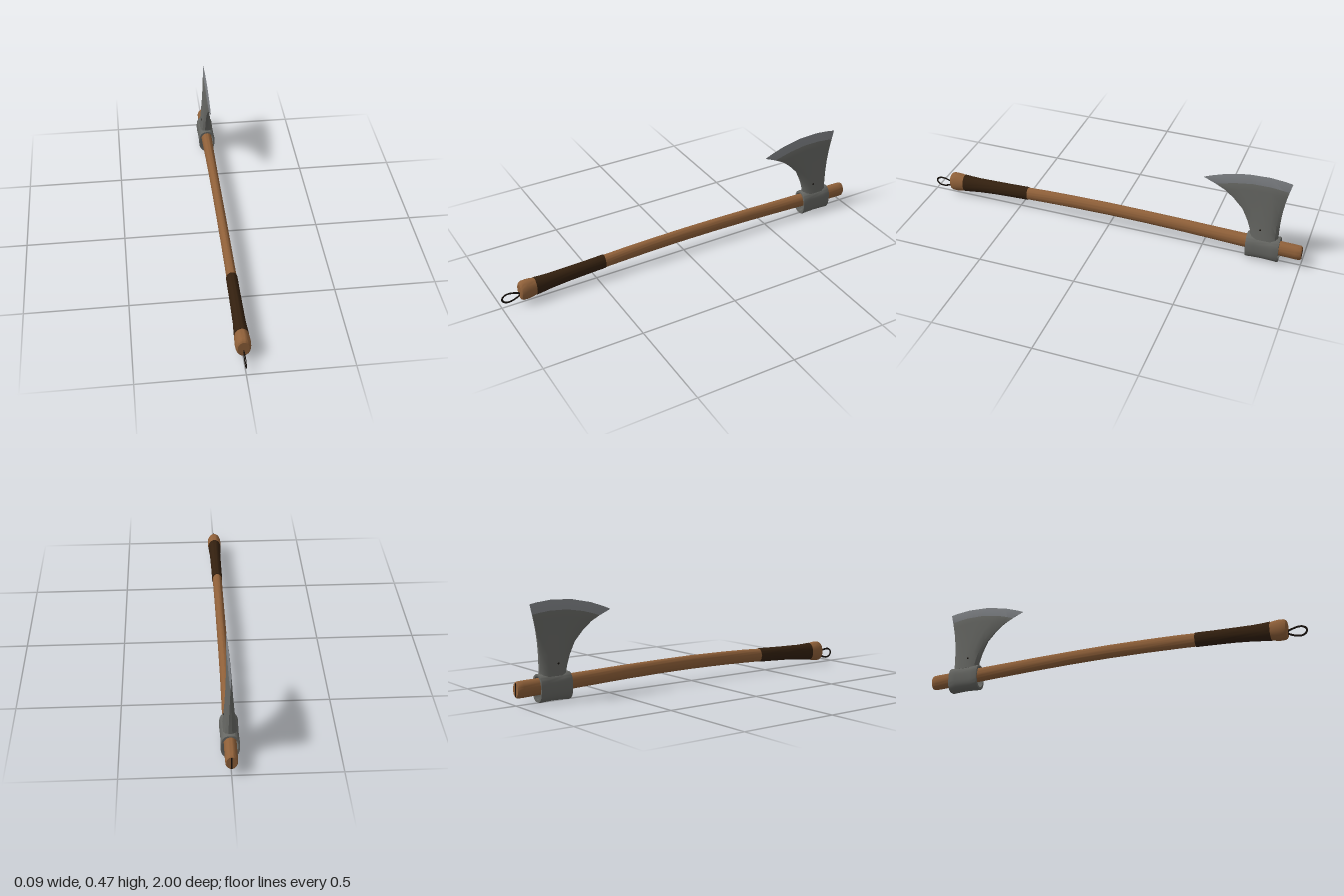
import * as THREE from 'three';
import { toCreasedNormals } from 'three/addons/utils/BufferGeometryUtils.js';

const material = (name, color, side = THREE.FrontSide) => {
  const m = new THREE.MeshStandardMaterial({ color, side });
  m.name = name;
  return m;
};

// Skins a list of equal-length closed rings, with optional flat end caps.
function loft(rings, caps = true, crease = 0.55) {
  const n = rings[0].length;
  const pos = rings.flat(2);
  const idx = [];
  for (let i = 0; i < rings.length - 1; i++) {
    for (let j = 0; j < n; j++) {
      const k = (j + 1) % n;
      const a = i * n + j, b = i * n + k, c = b + n, d = a + n;
      idx.push(a, b, d, b, c, d);
    }
  }
  if (caps) {
    [0, rings.length - 1].forEach((r, end) => {
      const centre = [0, 1, 2].map((k) => rings[r].reduce((s, p) => s + p[k], 0) / n);
      const c = pos.length / 3;
      pos.push(...centre);
      for (let j = 0; j < n; j++) {
        const a = r * n + j, b = r * n + ((j + 1) % n);
        if (end) idx.push(c, a, b);
        else idx.push(c, b, a);
      }
    });
  }
  const g = new THREE.BufferGeometry();
  g.setAttribute('position', new THREE.Float32BufferAttribute(pos, 3));
  g.setIndex(idx);
  return toCreasedNormals(g, crease);
}

// Ellipse (power 2) or squarer oval (power above 2) across the z axis.
function oval(z, cy, rx, ry, power = 2, n = 32) {
  const bend = (v) => Math.sign(v) * Math.abs(v) ** (2 / power);
  return Array.from({ length: n }, (_, i) => {
    const a = (i / n) * Math.PI * 2;
    return [rx * bend(Math.cos(a)), cy + ry * bend(Math.sin(a)), z];
  });
}

// Blade cross-section: thick in the middle, thin toward both ends.
const ACROSS = [[0, 0.3], [0.08, 0.75], [0.25, 1], [0.5, 1], [0.75, 1], [0.92, 0.75], [1, 0.3]];
function bladeRing([zf, yf, zb, yb, bulge, half]) {
  const side = (s) => ACROSS.map(([u, f]) => [
    s * half * f,
    yf + (yb - yf) * u + bulge * 4 * u * (1 - u),
    zf + (zb - zf) * u,
  ]);
  return [...side(1), ...side(-1).reverse()];
}

export function createModel() {
  const wood = material('wood', 0x8f6039);
  const leather = material('dark leather', 0x33200f);
  const steel = material('steel', 0x666763);
  const edgeSteel = material('sharpened steel', 0x84878b);
  const black = material('black', 0x17110c);

  const model = new THREE.Group();
  model.name = 'axe';
  const add = (name, geometry, mat, parent = model) => {
    const mesh = new THREE.Mesh(geometry, mat);
    mesh.name = name;
    parent.add(mesh);
    return mesh;
  };

  // Bowed shaft: z, centre y, half width, half height
  add('shaft', loft([
    [-1, 0.073, 0.024, 0.034],
    [-0.993, 0.073, 0.028, 0.039],
    [-0.97, 0.0735, 0.029, 0.04],
    [-0.85, 0.077, 0.029, 0.039],
    [-0.7, 0.082, 0.028, 0.037],
    [-0.55, 0.0865, 0.026, 0.036],
    [-0.4, 0.091, 0.0245, 0.0355],
    [-0.2, 0.095, 0.024, 0.035],
    [0, 0.0965, 0.024, 0.035],
    [0.2, 0.094, 0.024, 0.035],
    [0.35, 0.09, 0.0245, 0.035],
    [0.5, 0.084, 0.025, 0.034],
    [0.65, 0.078, 0.026, 0.035],
    [0.78, 0.071, 0.029, 0.039],
  ].map((s) => oval(...s))), wood);

  // Swollen end of the handle
  add('pommel', loft([
    [0.78, 0.071, 0.029, 0.039],
    [0.82, 0.069, 0.033, 0.044],
    [0.845, 0.068, 0.036, 0.05],
    [0.87, 0.067, 0.037, 0.053],
    [0.89, 0.0665, 0.036, 0.052],
    [0.9, 0.066, 0.033, 0.047],
    [0.905, 0.066, 0.027, 0.039],
  ].map((s) => oval(...s))), wood);

  // Leather wrap
  add('gripWrap', loft([
    [0.455, 0.086, 0.028, 0.037],
    [0.55, 0.082, 0.028, 0.037],
    [0.65, 0.078, 0.029, 0.038],
    [0.74, 0.073, 0.03, 0.041],
    [0.79, 0.07, 0.033, 0.045],
    [0.825, 0.069, 0.035, 0.048],
  ].map((s) => oval(...s))), leather);

  // Wrist loop, a flattened cord
  const loopPath = new THREE.CatmullRomCurve3([
    [0.05, 0.9], [0.068, 0.94], [0.07, 0.972], [0.06, 0.99],
    [0.047, 0.995], [0.033, 0.988], [0.024, 0.97], [0.027, 0.94],
  ].map(([y, z]) => new THREE.Vector3(0, y, z)), true);
  add('wristLoop', new THREE.TubeGeometry(loopPath, 48, 0.005, 8, true), black).scale.x = 0.45;

  // Wedge in the top end of the shaft
  const wedge = add('wedge', new THREE.BoxGeometry(0.007, 0.064, 0.006), black);
  wedge.position.set(0, 0.073, -0.998);

  const head = new THREE.Group();
  head.name = 'axeHead';
  model.add(head);

  // Hollow socket, slightly waisted along its length
  const outer = [[-0.89, 0.96], [-0.884, 1], [-0.85, 0.97], [-0.807, 0.95], [-0.765, 0.97], [-0.731, 1], [-0.725, 0.96]]
    .map(([z, k]) => oval(z, 0.067, 0.044 * k, 0.067 * k, 2.6, 40));
  const inner = [-0.725, -0.89].map((z) => oval(z, 0.069, 0.036, 0.055, 2, 40));
  add('socket', loft([...outer, ...inner, outer[0]], false), steel, head);

  // Blade rows: front z, front y, back z, back y, crown, half thickness
  const rows = [
    [-0.742, 0.12, -0.877, 0.12, 0, 0.031],
    [-0.735, 0.16, -0.877, 0.165, 0, 0.026],
    [-0.72, 0.205, -0.879, 0.22, 0.004, 0.021],
    [-0.69, 0.267, -0.884, 0.28, 0.01, 0.0155],
    [-0.64, 0.32, -0.893, 0.34, 0.018, 0.011],
    [-0.595, 0.355, -0.9, 0.375, 0.023, 0.0085],
    [-0.55, 0.378, -0.908, 0.408, 0.027, 0.006],
    [-0.487, 0.404, -0.92, 0.456, 0.036, 0.0005],
  ].map(bladeRing);
  add('blade', loft(rows.slice(0, 7)), steel, head);
  add('cuttingEdge', loft(rows.slice(6)), edgeSteel, head);

  // Small pin through the neck of the blade
  const pin = add('neckPin', new THREE.CylinderGeometry(0.005, 0.005, 0.051, 12), black, head);
  pin.rotation.z = Math.PI / 2;
  pin.position.set(0, 0.176, -0.79);

  return model;
}
